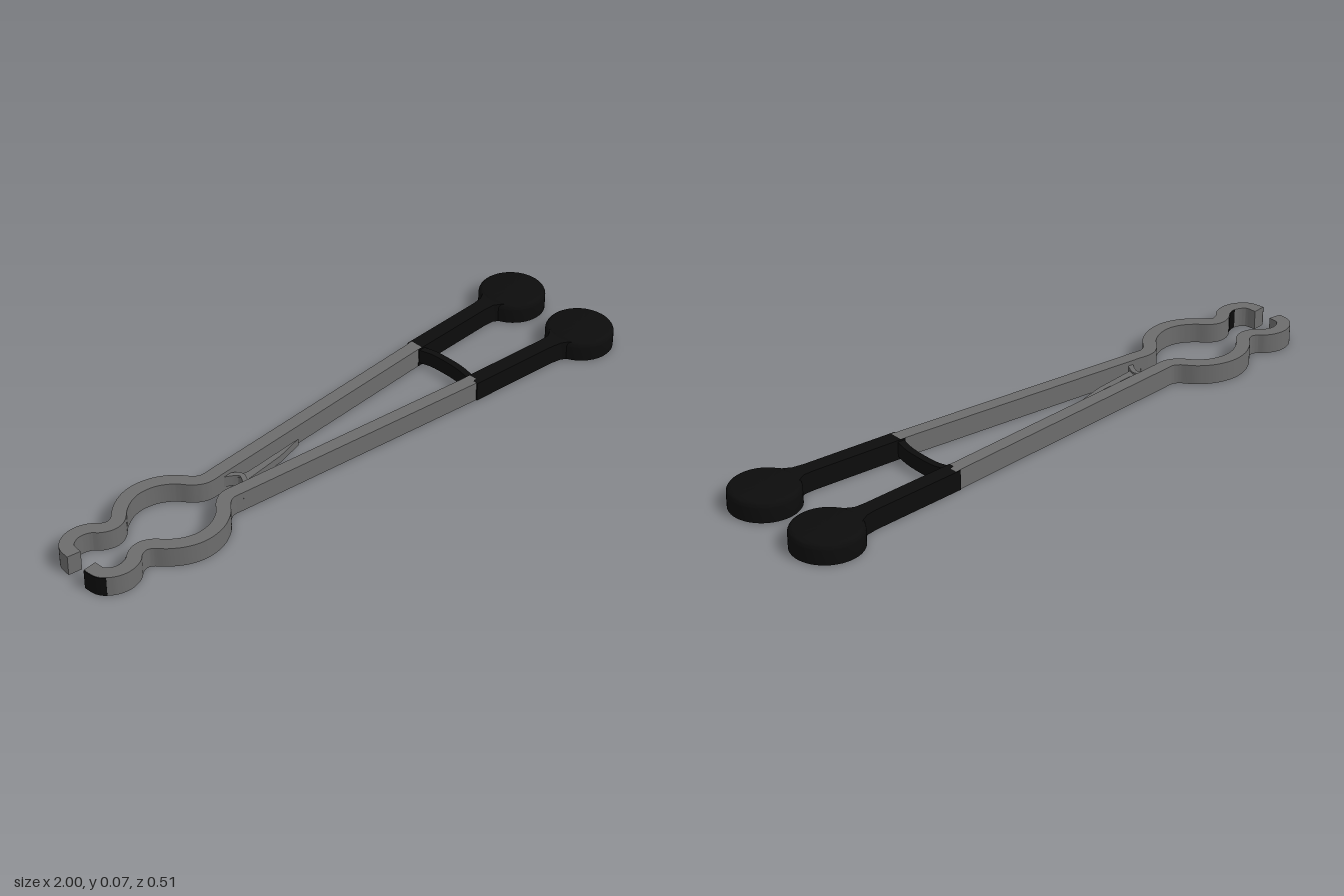
import * as THREE from 'three';
import { toCreasedNormals } from 'three/addons/utils/BufferGeometryUtils.js';

const steel = new THREE.MeshStandardMaterial({ color: 0x6c6c6c });
steel.name = 'grey steel';
const rubber = new THREE.MeshStandardMaterial({ color: 0x0c0c0c });
rubber.name = 'black rubber';

// Upright prism from an [x, z] outline, between two heights
function prism(name, outline, y0, y1, material) {
  const shape = new THREE.Shape(outline.map(([x, z]) => new THREE.Vector2(x, -z)));
  let geo = new THREE.ExtrudeGeometry(shape, { depth: y1 - y0, bevelEnabled: false });
  geo.rotateX(-Math.PI / 2).translate(0, y0, 0);
  geo = toCreasedNormals(geo, 0.6);
  const mesh = new THREE.Mesh(geo, material);
  mesh.name = name;
  return mesh;
}

// Outline of a strip following a curve, between two sideways offsets
function strip(points, from, to, samples, u0 = 0, u1 = 1) {
  const curve = new THREE.SplineCurve(points.map(([x, z]) => new THREE.Vector2(x, z)));
  const a = [], b = [];
  for (let i = 0; i <= samples; i++) {
    const u = u0 + (u1 - u0) * i / samples;
    const p = curve.getPoint(u), t = curve.getTangent(u);
    a.push([p.x - t.y * from, p.y + t.x * from]);
    b.unshift([p.x - t.y * to, p.y + t.x * to]);
  }
  return [...a, ...b];
}

// Centre line of the jaw: small hook, waist, large bow, start of the arm
const JAW = [
  [-0.977, 0.035], [-0.972, 0.075], [-0.946, 0.099], [-0.91, 0.107], [-0.873, 0.096],
  [-0.85, 0.076], [-0.82, 0.066], [-0.79, 0.076], [-0.755, 0.11], [-0.71, 0.137],
  [-0.66, 0.147], [-0.605, 0.137], [-0.557, 0.108], [-0.522, 0.068], [-0.49, 0.051],
  [-0.45, 0.053],
];
const HALF = 0.0215;

function createSide(side) {
  const group = new THREE.Group();
  group.name = side > 0 ? 'frontArm' : 'backArm';
  const flip = (pts) => pts.map(([x, z]) => [x, z * side]);

  group.add(prism('jaw', flip(strip(JAW, -HALF, HALF, 90)), 0, 0.064, steel));
  group.add(prism('armBar', flip([
    [-0.452, 0.0315], [0.44, 0.105], [0.44, 0.149], [-0.452, 0.0745],
  ]), 0, 0.064, steel));

  // Grip flaring into the round pad
  group.add(prism('grip', flip([
    [0.425, 0.102], [0.74, 0.12], [0.775, 0.119], [0.80, 0.105], [0.825, 0.075],
    [0.89, 0.1], [0.89, 0.19], [0.825, 0.217], [0.80, 0.19], [0.775, 0.176],
    [0.74, 0.17], [0.425, 0.152],
  ]), 0.001, 0.064, rubber));

  // Round pad, rounded along its top edge only
  const profile = [new THREE.Vector2(0, 0.002), new THREE.Vector2(0.108, 0.002)];
  for (let i = 0; i <= 6; i++) {
    const a = i / 6 * Math.PI / 2;
    profile.push(new THREE.Vector2(0.09 + 0.018 * Math.cos(a), 0.048 + 0.018 * Math.sin(a)));
  }
  profile.push(new THREE.Vector2(0, 0.066));
  const pad = new THREE.Mesh(toCreasedNormals(new THREE.LatheGeometry(profile, 48), 0.6), rubber);
  pad.name = 'gripPad';
  pad.position.set(0.892, 0, 0.147 * side);
  group.add(pad);
  return group;
}

export function createModel() {
  const model = new THREE.Group();
  model.name = 'tongs';
  model.add(createSide(1), createSide(-1));

  // Dark facings inside and at the end of the front hook
  model.add(prism('hookLining', strip(JAW, -HALF - 0.002, -HALF + 0.001, 14, 0.19, 0.3), 0.001, 0.063, rubber));
  model.add(prism('hookEndFacing', strip(JAW, HALF - 0.001, HALF + 0.002, 10, 0, 0.1), 0.001, 0.063, rubber));

  // Bowed link between the grips
  model.add(prism('crossLink', strip([
    [0.435, -0.115], [0.445, -0.085], [0.452, -0.05], [0.453, 0.03], [0.445, 0.085], [0.433, 0.125],
  ], -0.011, 0.011, 20), 0.012, 0.059, rubber));

  // Spring catch near the jaws, with its long tapering tongue
  model.add(prism('springCatch', strip([
    [-0.47, -0.055], [-0.42, -0.035], [-0.39, -0.012], [-0.395, 0.012], [-0.415, 0.045],
  ], -0.008, 0.008, 16), 0.014, 0.05, steel));
  model.add(prism('springTongue', [
    [-0.4, -0.018], [-0.36, -0.012], [-0.145, -0.031], [-0.24, -0.004], [-0.395, 0.018],
  ], 0.02, 0.044, steel));

  return model;
}
